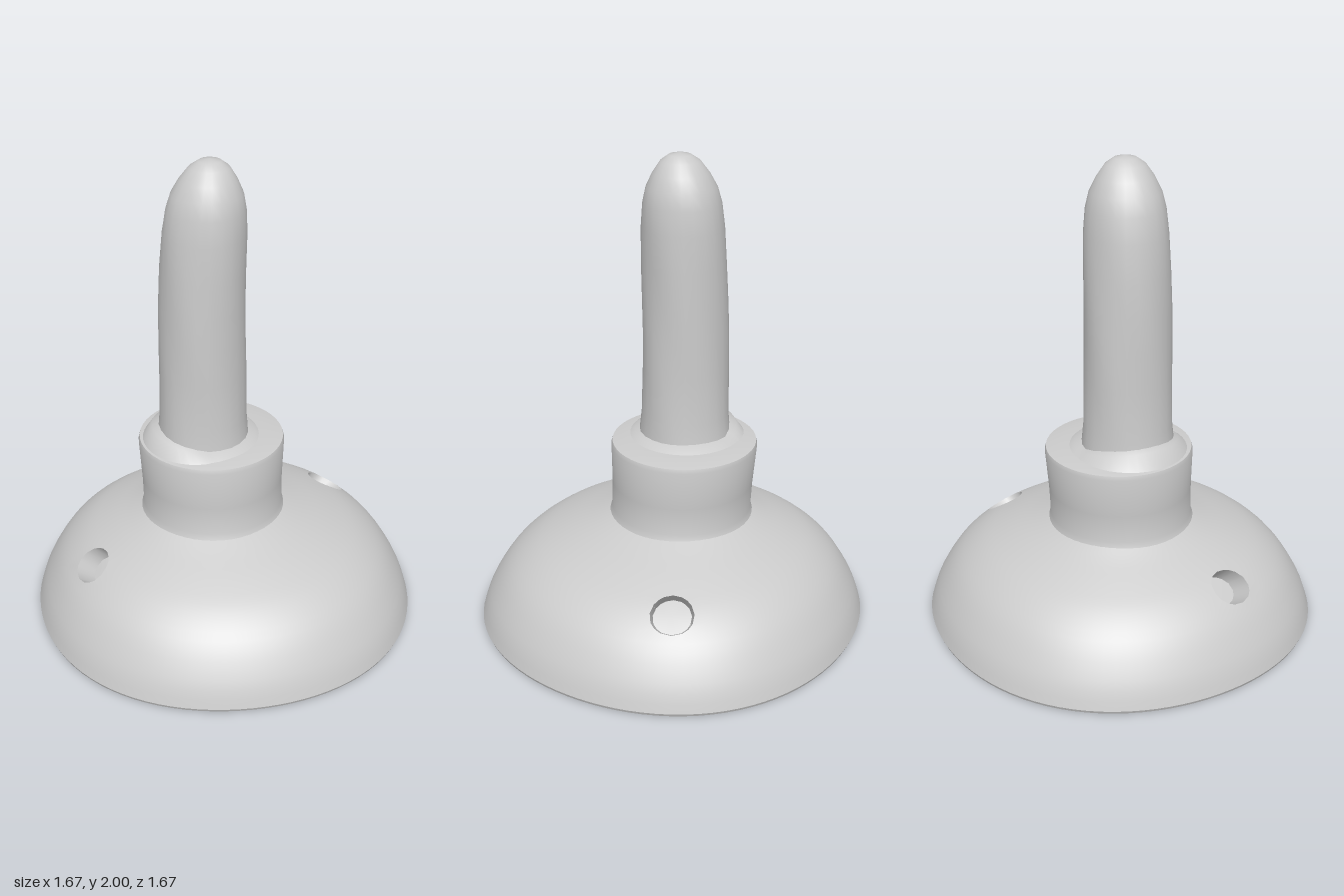
import * as THREE from 'three';
import { mergeGeometries, toCreasedNormals } from 'three/addons/utils/BufferGeometryUtils.js';

const AROUND = 96, ROWS = 19;
const material = new THREE.MeshStandardMaterial({ color: 0xcccccc, side: THREE.DoubleSide });

const points = (list) => list.map(([r, y]) => new THREE.Vector2(r, y));

function deform(geometry, rule) {
  const pos = geometry.attributes.position;
  const v = new THREE.Vector3();
  for (let i = 0; i < pos.count; i++) {
    v.fromBufferAttribute(pos, i);
    rule(v);
    pos.setXYZ(i, v.x, v.y, v.z);
  }
  return geometry;
}

function part(name, geometry, crease = 0.6) {
  const mesh = new THREE.Mesh(toCreasedNormals(geometry, crease), material);
  mesh.name = name;
  return mesh;
}

function indexed(positions, index) {
  const g = new THREE.BufferGeometry();
  g.setAttribute('position', new THREE.Float32BufferAttribute(positions, 3));
  g.setIndex(index);
  return g;
}

// Cup walls are grids around the axis; each pocket is a 4 x 4 block of cells
// left out, with its border moved onto a circle.
const POCKETS = [{ i: 4, j: 10 }, { i: 55, j: 10 }];
const HALF = 2, POCKET_RADIUS = 2.2, POCKET_DEPTH = 1.7;

// The wall thins from the rim towards the collar
const outerCurve = new THREE.SplineCurve(points([
  [0.835, 0.012], [0.8, 0.11], [0.72, 0.235], [0.62, 0.32], [0.51, 0.374], [0.38, 0.425], [0.3, 0.46]]));
const innerCurve = new THREE.SplineCurve(points([
  [0.77, 0], [0.742, 0.1], [0.675, 0.205], [0.585, 0.285], [0.48, 0.338], [0.36, 0.388], [0.285, 0.42]]));

const around = (i) => ((i + AROUND / 2 + AROUND) % AROUND) - AROUND / 2;

// Slightly less than round on the diagonals
const outOfRound = (angle) => 1 - 0.009 * (1 - Math.cos(4 * angle));

function cupPoint(curve, i, j) {
  for (const h of POCKETS) {
    const di = around(i - h.i), dj = j - h.j;
    if (Math.max(Math.abs(di), Math.abs(dj)) === HALF) {
      const scale = POCKET_RADIUS / Math.hypot(di, dj);
      i = h.i + di * scale;
      j = h.j + dj * scale;
      break;
    }
  }
  const t = j / ROWS, p = curve.getPointAt(t), a = (i / AROUND) * Math.PI * 2;
  const r = p.x * outOfRound(a), shift = t ** 3;
  return new THREE.Vector3(r * Math.cos(a) - 0.02 * shift, p.y, r * Math.sin(a) - 0.045 * shift);
}

function inPocket(i, j) {
  return POCKETS.some((h) => {
    const di = around(i - h.i), dj = j - h.j;
    return di >= -HALF && di < HALF && dj >= -HALF && dj < HALF;
  });
}

function cupWall(curve, outward) {
  const positions = [], index = [];
  for (let j = 0; j <= ROWS; j++)
    for (let i = 0; i < AROUND; i++) positions.push(...cupPoint(curve, i, j));
  for (let j = 0; j < ROWS; j++)
    for (let i = 0; i < AROUND; i++) {
      if (inPocket(i, j)) continue;
      const n = (i + 1) % AROUND;
      const a = j * AROUND + i, b = j * AROUND + n, c = a + AROUND, d = b + AROUND;
      if (outward) index.push(a, c, b, b, c, d);
      else index.push(a, b, c, b, d, c);
    }
  return indexed(positions, index);
}

// Blind pocket: a round wall and a floor that stands a little proud inside the cup
function pocket(h) {
  const border = [];
  for (let k = -HALF; k < HALF; k++) border.push([k, -HALF]);
  for (let k = -HALF; k < HALF; k++) border.push([HALF, k]);
  for (let k = HALF; k > -HALF; k--) border.push([k, HALF]);
  for (let k = HALF; k > -HALF; k--) border.push([-HALF, k]);
  const bottom = (i, j) => cupPoint(outerCurve, i, j).lerp(cupPoint(innerCurve, i, j), POCKET_DEPTH);
  const positions = [], index = [], n = border.length;
  border.forEach(([di, dj], k) => {
    const i = (h.i + di + AROUND) % AROUND, j = h.j + dj;
    positions.push(...cupPoint(outerCurve, i, j), ...bottom(i, j));
    const a = 2 * k, b = 2 * ((k + 1) % n);
    index.push(a, b, a + 1, b, b + 1, a + 1, a + 1, b + 1, 2 * n);
  });
  positions.push(...bottom(h.i, h.j));
  return indexed(positions, index);
}

function createCup() {
  const rim = new THREE.LatheGeometry(points([[0.77, 0], [0.83, 0], [0.835, 0.012]]), AROUND);
  deform(rim, (v) => {
    const s = outOfRound(Math.atan2(v.z, v.x));
    v.x *= s;
    v.z *= s;
  });
  rim.deleteAttribute('uv');
  rim.deleteAttribute('normal');
  return part('cup', mergeGeometries([
    cupWall(outerCurve, true), cupWall(innerCurve, false), rim, ...POCKETS.map(pocket)]));
}

// Hollow socket between cup and handle, leaning slightly
function createCollar() {
  const g = new THREE.LatheGeometry(points([
    [0, 0.74], [0.27, 0.74], [0.285, 0.42], [0.308, 0.452], [0.298, 0.48], [0.3, 0.6],
    [0.309, 0.77], [0.304, 0.787], [0.24, 0.798], [0.15, 0.8]]), 48);
  deform(g, (v) => {
    const lean = (v.y - 0.45) / 0.35;
    v.x += -0.02 + 0.007 * lean;
    v.z += -0.043 - 0.012 * lean;
  });
  return part('collar', g);
}

// Uneven swelling at the foot of the handle, highest at the back right
function createSwelling() {
  const g = new THREE.LatheGeometry(points([[0.258, 0.784], [0.215, 0.812], [0.165, 0.825]]), 40);
  deform(g, (v) => {
    const side = Math.max(0, -(v.x + v.z) / Math.hypot(v.x, v.z) / Math.SQRT2);
    if (v.y > 0.8) v.y += 0.04 * side;
    v.x -= 0.05;
    v.z -= 0.07;
  });
  return part('handleFoot', g, 1);
}

// Rounded, slightly crooked handle
function createHandle() {
  const profile = points([[0.193, 0.8], [0.183, 0.9], [0.18, 1.1], [0.178, 1.25], [0.176, 1.4],
    [0.173, 1.55], [0.168, 1.7], [0.158, 1.8], [0.142, 1.865], [0.114, 1.92], [0.08, 1.968],
    [0.045, 1.992], [0, 2]]);
  const g = new THREE.LatheGeometry(profile, 24);
  deform(g, (v) => {
    const a = Math.atan2(v.z, v.x);
    const wobble = 1 + 0.012 * Math.sin(3 * a + 5 * v.y) + 0.008 * Math.sin(5 * a - 9 * v.y);
    const bend = Math.max(0, (v.y - 1.2) / 0.8) ** 2;
    v.x = v.x * wobble - 0.055 + 0.02 * bend;
    v.z = v.z * wobble - 0.068 + 0.03 * bend;
  });
  return part('handle', g, 1);
}

export function createModel() {
  const model = new THREE.Group();
  model.name = 'plunger';
  model.add(createCup(), createCollar(), createSwelling(), createHandle());
  return model;
}
